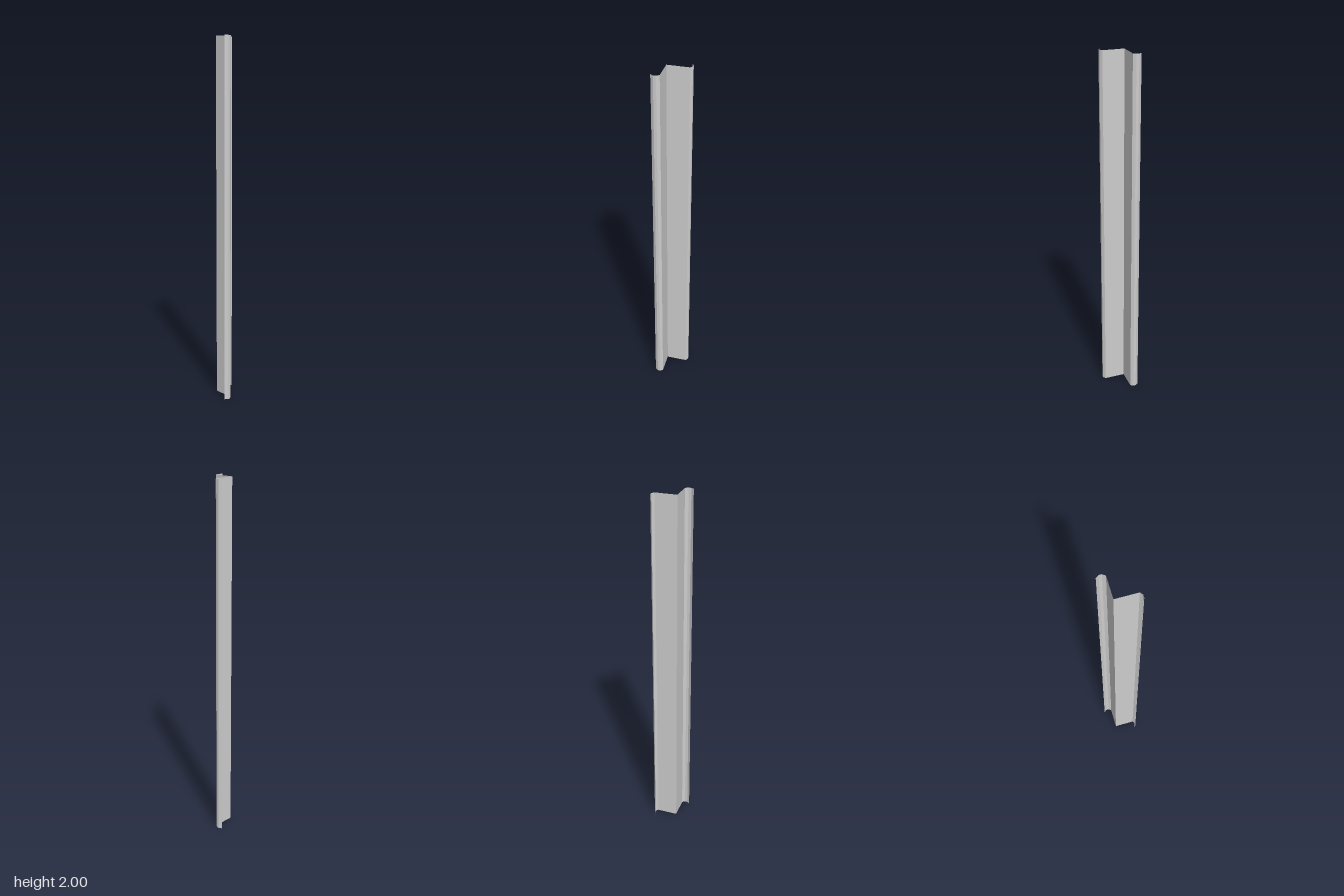
import * as THREE from 'three';

const HEIGHT = 2;

// Open vertical sheet following a plan outline of [x, z] points
function sheet(name, outline, material) {
  const positions = [];
  for (let i = 0; i < outline.length - 1; i++) {
    const [ax, az] = outline[i];
    const [bx, bz] = outline[i + 1];
    positions.push(ax, 0, az, bx, 0, bz, bx, HEIGHT, bz);
    positions.push(ax, 0, az, bx, HEIGHT, bz, ax, HEIGHT, az);
  }
  const geometry = new THREE.BufferGeometry();
  geometry.setAttribute('position', new THREE.Float32BufferAttribute(positions, 3));
  geometry.computeVertexNormals();
  const mesh = new THREE.Mesh(geometry, material);
  mesh.name = name;
  return mesh;
}

export function createModel() {
  const group = new THREE.Group();
  group.name = 'cornerProfile';
  const material = new THREE.MeshStandardMaterial({
    color: 0xcccccc, flatShading: true, side: THREE.DoubleSide,
  });

  // Flat flange from the corner, then a bevelled lip curling outwards
  const flange = [[-0.041, -0.041], [0.076, -0.041]];
  const lip = [[0.076, -0.041], [0.087, -0.056], [0.087, -0.071], [0.076, -0.087]];
  const mirror = (points) => points.map(([x, z]) => [z, x]).reverse();

  group.add(
    sheet('backFlange', flange, material),
    sheet('backLip', lip, material),
    sheet('sideFlange', mirror(flange), material),
    sheet('sideLip', mirror(lip), material),
  );
  return group;
}
